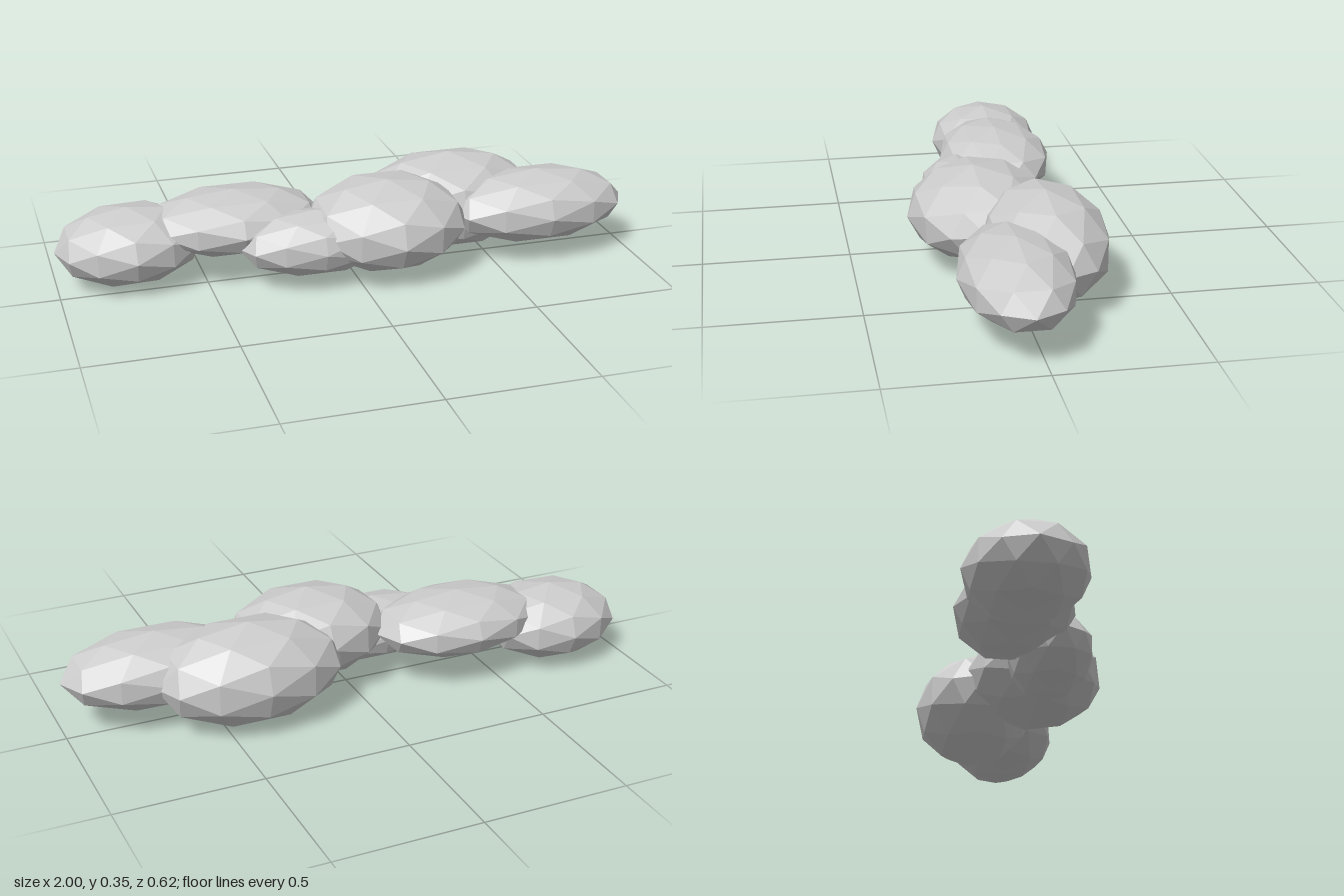
import * as THREE from 'three';

// Low-poly cloud: overlapping faceted puffs
export function createModel() {
  const cloud = new THREE.Group();
  cloud.name = 'cloud';

  const cloudGrey = new THREE.MeshStandardMaterial({ color: 0xcccccc, flatShading: true });
  cloudGrey.name = 'cloudGrey';

  // name, centre, radii, slight tilt about x and z
  const puffs = [
    ['rightEndPuff', [-0.75, 0.14, -0.09], [0.253, 0.132, 0.2], 0, 0.03],
    ['rightBackPuff', [-0.39, 0.195, -0.07], [0.31, 0.11, 0.2], 0, 0],
    ['smallFrontPuff', [-0.14, 0.15, 0.09], [0.27, 0.112, 0.145], 0, 0],
    ['centreFrontPuff', [0.11, 0.189, 0.076], [0.285, 0.155, 0.237], 0.08, 0],
    ['leftBackPuff', [0.395, 0.175, -0.1], [0.33, 0.174, 0.212], 0, 0],
    ['leftEndPuff', [0.67, 0.18, 0.045], [0.328, 0.127, 0.185], 0, 0],
  ];

  for (const [name, centre, radii, tiltX, tiltZ] of puffs) {
    const geometry = new THREE.IcosahedronGeometry(1, 1).scale(...radii);
    const puff = new THREE.Mesh(geometry, cloudGrey);
    puff.name = name;
    puff.position.set(...centre);
    puff.rotation.set(tiltX, 0, tiltZ);
    cloud.add(puff);
  }
  return cloud;
}
